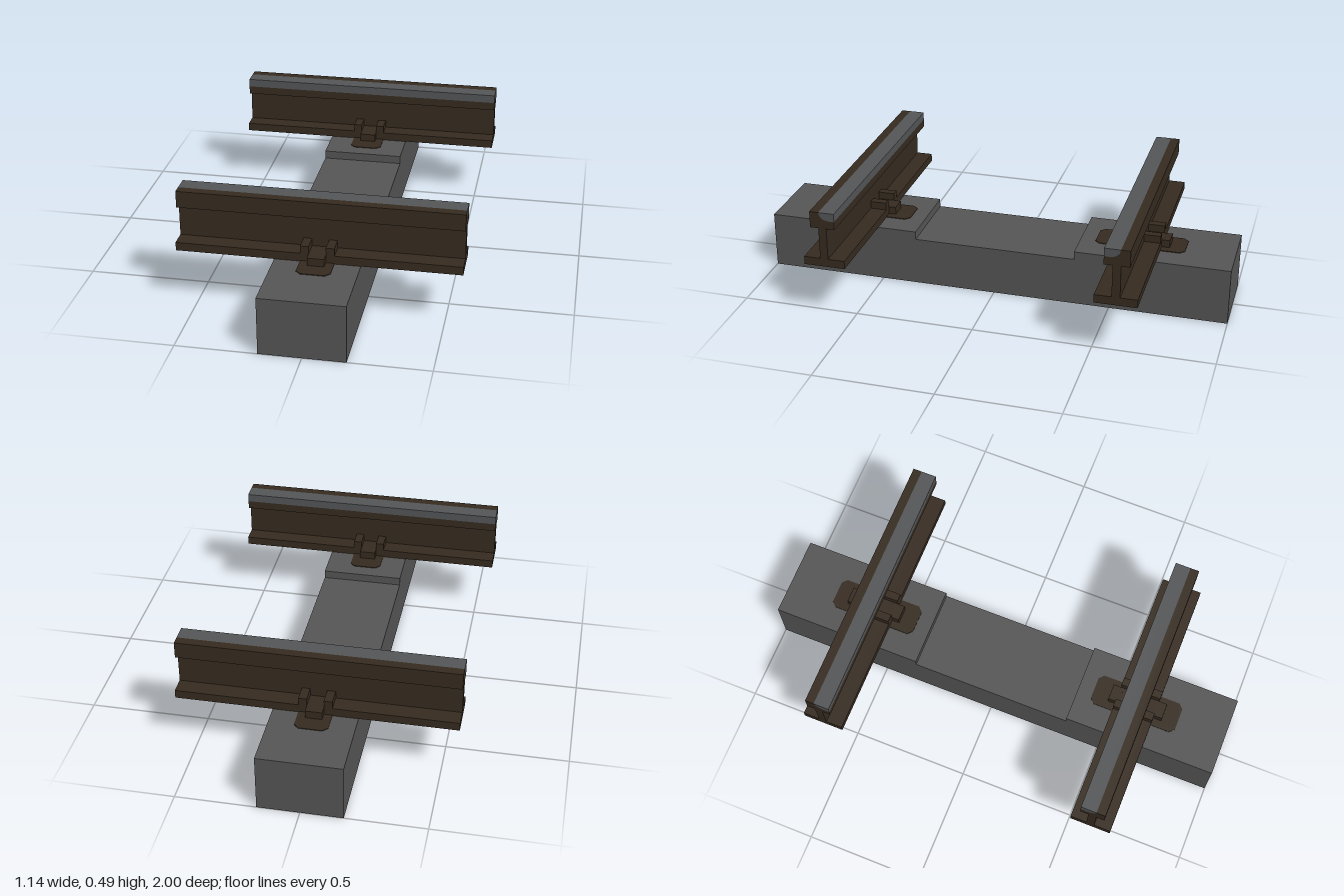
import * as THREE from 'three';

const concrete = new THREE.MeshStandardMaterial({ name: 'concrete', color: 0x555555 });
const rust = new THREE.MeshStandardMaterial({ name: 'rusty iron', color: 0x362b20 });
const steel = new THREE.MeshStandardMaterial({ name: 'worn steel', color: 0x535557 });

const RAIL_LENGTH = 1.14, SLEEPER_WIDTH = 0.344, BED = 0.243;

// Extrudes an outline of (distance from track centre, height) along x, on the -z side.
function extrudeAlongX(name, outline, length, material) {
  const shape = new THREE.Shape(outline.map(([d, y]) => new THREE.Vector2(d, y)));
  const geometry = new THREE.ExtrudeGeometry(shape, { depth: length, bevelEnabled: false });
  geometry.translate(0, 0, -length / 2).rotateY(Math.PI / 2);
  const mesh = new THREE.Mesh(geometry, material);
  mesh.name = name;
  return mesh;
}

// Box given by its limits in x, height and distance from the track centre.
function block(name, x0, x1, y0, y1, d0, d1) {
  const mesh = new THREE.Mesh(new THREE.BoxGeometry(x1 - x0, y1 - y0, d1 - d0), rust);
  mesh.position.set((x0 + x1) / 2, (y0 + y1) / 2, -(d0 + d1) / 2);
  mesh.name = name;
  return mesh;
}

function createRail() {
  const rail = new THREE.Group();

  // Foot, web and head, with a notch for the worn running edge
  rail.add(extrudeAlongX('railBody', [
    [0.516, BED], [0.69, BED], [0.69, 0.278], [0.62, 0.278], [0.62, 0.415],
    [0.655, 0.415], [0.655, 0.485], [0.617, 0.485], [0.612, 0.468], [0.598, 0.455],
    [0.578, 0.45], [0.551, 0.45], [0.551, 0.415], [0.586, 0.415], [0.586, 0.278], [0.516, 0.278],
  ], RAIL_LENGTH, rust));

  // Polished running edge on the inner side of the head
  rail.add(extrudeAlongX('runningEdge', [
    [0.551, 0.45], [0.578, 0.45], [0.598, 0.455], [0.612, 0.468], [0.617, 0.485], [0.551, 0.485],
  ], RAIL_LENGTH, steel));

  // Thin base plate with cut corners
  const w = 0.068, l = 0.19, c = 0.02;
  const outline = [[-w + c, -l], [w - c, -l], [w, -l + c], [w, l - c],
    [w - c, l], [-w + c, l], [-w, l - c], [-w, -l + c]];
  const plateShape = new THREE.Shape(outline.map(([x, y]) => new THREE.Vector2(x, y)));
  const plateGeometry = new THREE.ExtrudeGeometry(plateShape, { depth: 0.003, bevelEnabled: false });
  const plate = new THREE.Mesh(plateGeometry.rotateX(-Math.PI / 2), rust);
  plate.position.set(0, BED, -0.602);
  plate.name = 'basePlate';
  rail.add(plate);

  // Clips: a tongue on the plate and two fingers holding down the foot, on both sides
  for (const [tongue, finger] of [[[0.484, 0.53], [0.516, 0.59]], [[0.68, 0.725], [0.615, 0.69]]]) {
    rail.add(block('clipTongue', -0.034, 0.034, BED, 0.2785, ...tongue));
    for (const x of [-0.068, 0.034]) {
      rail.add(block('clipFinger', x, x + 0.034, 0.275, 0.31, ...finger));
    }
  }
  return rail;
}

export function createModel() {
  const model = new THREE.Group();
  model.name = 'trackSection';

  // Sleeper, lowered between the rails
  model.add(extrudeAlongX('sleeper', [
    [-1, 0], [1, 0], [1, BED], [0.347, BED], [0.347, 0.208],
    [-0.347, 0.208], [-0.347, BED], [-1, BED],
  ], SLEEPER_WIDTH, concrete));

  // Two rails facing each other
  const back = createRail();
  back.name = 'backRail';
  const front = createRail();
  front.name = 'frontRail';
  front.rotation.y = Math.PI;
  model.add(back, front);
  return model;
}
